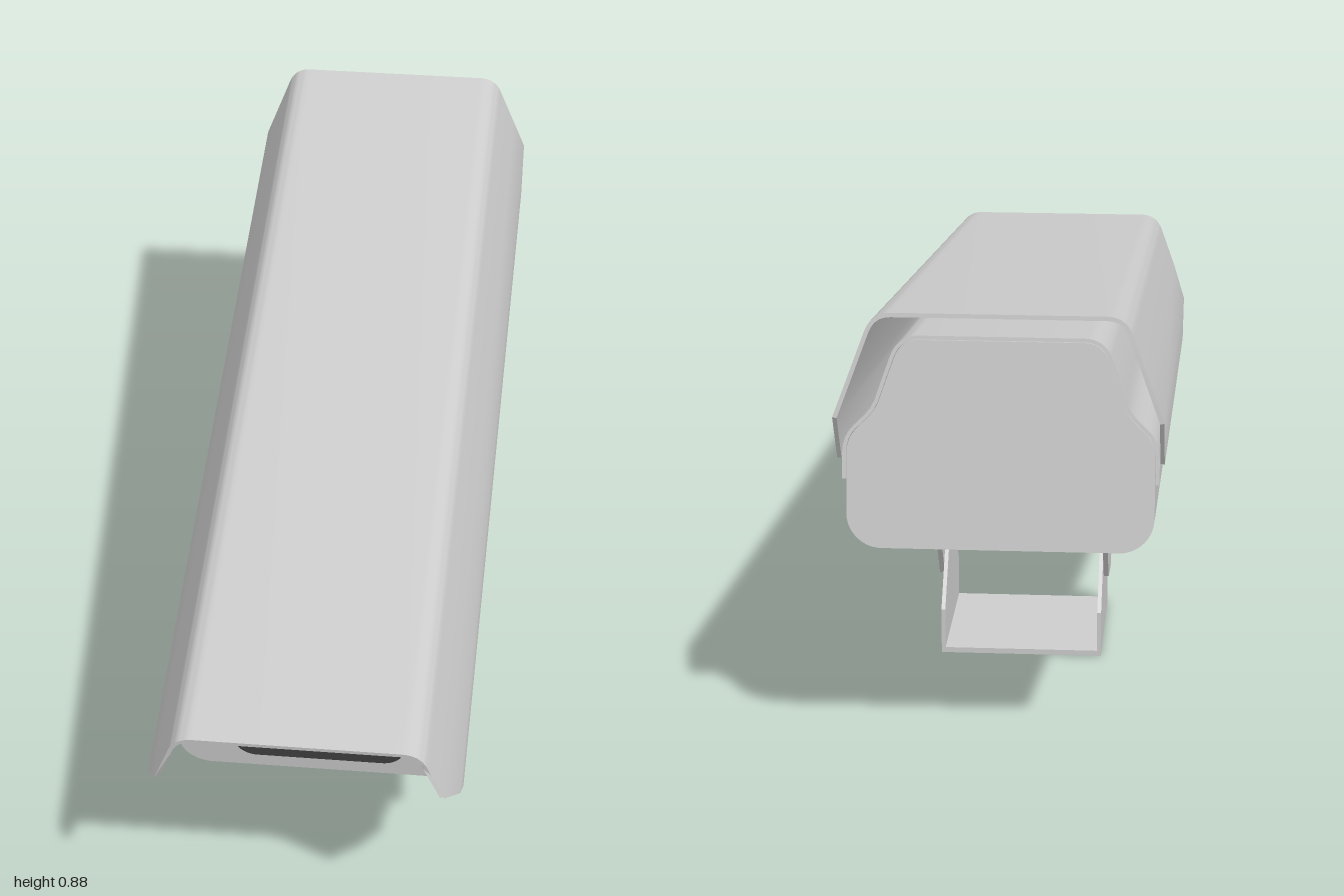
import * as THREE from 'three';
import { toCreasedNormals } from 'three/addons/utils/BufferGeometryUtils.js';

const TILT = 0.1536; // downward pitch of the housing

// Complete a right-hand half profile with its mirror image
const mirrored = (half) => [
  ...half,
  ...half.slice().reverse().map((p) => new THREE.Vector2(-p.x, p.y)),
];

// Shift an open polyline (running up the right, down the left) outwards
function offset(points, d) {
  return points.map((p, i) => {
    const normals = [];
    for (const [a, b] of [[i - 1, i], [i, i + 1]]) {
      if (!points[a] || !points[b]) continue;
      const t = points[b].clone().sub(points[a]).normalize();
      normals.push(new THREE.Vector2(t.y, -t.x));
    }
    const n = normals.reduce((s, v) => s.add(v), new THREE.Vector2()).normalize();
    return p.clone().addScaledVector(n, d / n.dot(normals[normals.length - 1] === n ? n : normals[normals.length - 1]));
  });
}

// Extrude an outline so each end follows a function of height
function extrudeBetween(outline, back, front) {
  const geo = new THREE.ExtrudeGeometry(new THREE.Shape(outline), { depth: 1, bevelEnabled: false });
  const pos = geo.attributes.position;
  for (let i = 0; i < pos.count; i++) {
    const y = pos.getY(i);
    pos.setZ(i, pos.getZ(i) > 0.5 ? front(y) : back(y));
  }
  return toCreasedNormals(geo, 0.55);
}

// Closed outline of a bent sheet lying between two offsets of a polyline
const sheet = (points, inner, outer) => [
  ...offset(points, outer),
  ...offset(points, inner).reverse(),
];

function roundedRect(w, h, r) {
  const s = new THREE.Shape();
  const x = w / 2, y = h / 2;
  s.absarc(x - r, y - r, r, 0, Math.PI / 2);
  s.absarc(r - x, y - r, r, Math.PI / 2, Math.PI);
  s.absarc(r - x, r - y, r, Math.PI, Math.PI * 1.5);
  s.absarc(x - r, r - y, r, Math.PI * 1.5, Math.PI * 2);
  return s;
}

export function createModel() {
  const model = new THREE.Group();
  model.name = 'securityCamera';
  const grey = new THREE.MeshStandardMaterial({ color: 0xcccccc });
  grey.name = 'painted metal grey';
  const dark = new THREE.MeshStandardMaterial({ color: 0x424242 });
  dark.name = 'dark glass';

  const add = (parent, name, geo, mat = grey) => {
    const mesh = new THREE.Mesh(geo, mat);
    mesh.name = name;
    parent.add(mesh);
    return mesh;
  };

  // Tilted camera head
  const head = new THREE.Group();
  head.name = 'cameraHead';
  head.rotation.x = TILT;
  model.add(head);

  // Shouldered upper profile shared by the body and the lid
  const upper = new THREE.Path();
  upper.moveTo(0.283, 0.404);
  upper.lineTo(0.283, 0.45);
  upper.bezierCurveTo(0.283, 0.51, 0.235, 0.5, 0.219, 0.564);
  upper.lineTo(0.196, 0.63);
  upper.quadraticCurveTo(0.184, 0.663, 0.15, 0.663);
  const upperHalf = upper.getPoints(10);

  // Body with rounded lower corners
  const corner = new THREE.Path();
  corner.absarc(0.218, 0.341, 0.065, -Math.PI / 2, 0);
  const bodyHalf = [...corner.getPoints(10), ...upperHalf];
  add(head, 'body', extrudeBetween(mirrored(bodyHalf), () => -1.022, () => 0.59));

  // Lid overhanging the front of the body
  const lidOutline = sheet(mirrored(upperHalf), 0.001, 0.008);
  add(head, 'lid', extrudeBetween(lidOutline, () => -1.021, () => 0.686));

  // Front window
  const glass = new THREE.ExtrudeGeometry(roundedRect(0.342, 0.317, 0.045), { depth: 0.004, bevelEnabled: false });
  add(head, 'window', glass, dark).position.set(0, 0.469, 0.589);

  // Sunshade with side edges cut back at both ends
  const shade = new THREE.Path();
  shade.moveTo(0.3, 0.443);
  shade.lineTo(0.3, 0.529);
  shade.lineTo(0.274, 0.6);
  shade.lineTo(0.243, 0.685);
  shade.quadraticCurveTo(0.23, 0.721, 0.195, 0.721);
  const shadeOutline = sheet(mirrored(shade.getPoints(8)), -0.008, 0);
  const shadeBack = (y) => -1.094 + Math.max(0, 0.529 - y) * 0.86;
  const shadeFront = (y) => 0.9 - Math.max(0, 0.6 - y) * 1.01;
  add(head, 'sunshade', extrudeBetween(shadeOutline, shadeBack, shadeFront));

  // Bracket: a plate with two tapered cheeks, built standing up from y = 0
  const makeBracket = (name, halfWidth, thickness) => {
    const bracket = new THREE.Group();
    bracket.name = name;
    const half = [[0.154, 0], [0.154, 0.085], [0.051, 0.19]].map((p) => new THREE.Vector2(...p));
    const cheek = new THREE.ExtrudeGeometry(new THREE.Shape(mirrored(half)), { depth: thickness, bevelEnabled: false });
    cheek.rotateY(Math.PI / 2);
    add(bracket, name + 'LeftCheek', cheek).position.x = halfWidth - thickness;
    add(bracket, name + 'RightCheek', cheek).position.x = -halfWidth;
    const plate = new THREE.BoxGeometry(halfWidth * 2 - thickness * 2, 0.01, 0.308);
    add(bracket, name + 'Plate', plate).position.y = 0.005;
    return bracket;
  };

  // Foot on the ground
  const foot = makeBracket('foot', 0.163, 0.008);
  foot.position.z = -0.258;
  foot.scale.y = 1.1;
  model.add(foot);

  // Matching yoke hanging under the body
  const yoke = makeBracket('yoke', 0.174, 0.01);
  yoke.rotation.z = Math.PI;
  yoke.position.set(0, 0.279, -0.287);
  head.add(yoke);

  return model;
}
